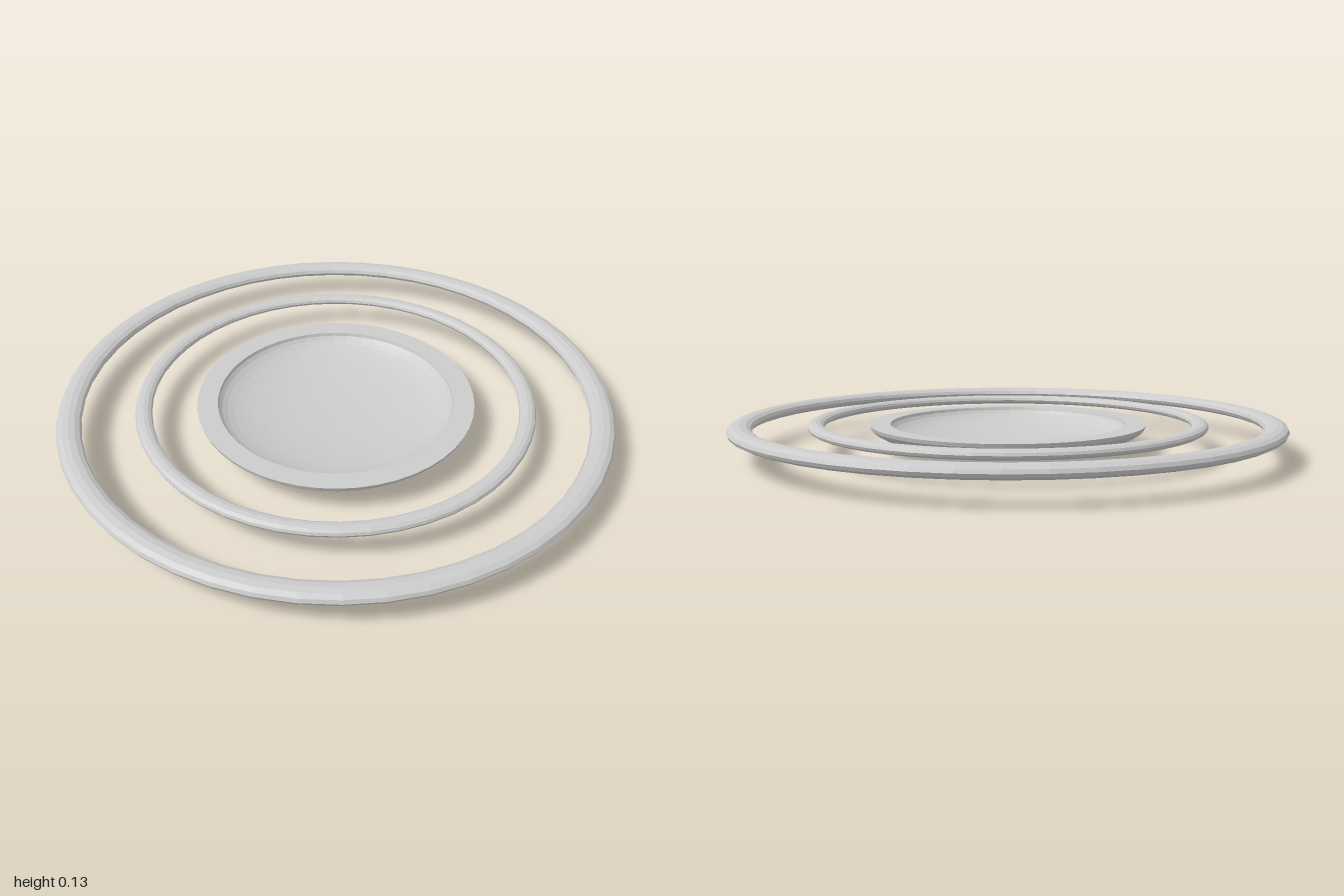
import * as THREE from 'three';

const RIM_Y = 0.104;
const material = new THREE.MeshStandardMaterial({ color: 0xcccccc, flatShading: true });

// Flattened ring lying level with the rim of the dish
function ring(name, inner, outer, height) {
  const tube = (outer - inner) / 2;
  const geometry = new THREE.TorusGeometry((outer + inner) / 2, tube, 12, 48);
  geometry.rotateX(Math.PI / 2);
  geometry.scale(1, height / (2 * tube), 1);
  const mesh = new THREE.Mesh(geometry, material);
  mesh.name = name;
  mesh.position.y = RIM_Y;
  return mesh;
}

// Quarter-ellipse profile from the bottom centre up to the rim
function bowlCurve(radius, depth, steps = 12) {
  return Array.from({ length: steps + 1 }, (_, i) => {
    const a = (i / steps) * Math.PI / 2;
    return new THREE.Vector2(radius * Math.sin(a), RIM_Y - depth * Math.cos(a));
  });
}

export function createModel() {
  const model = new THREE.Group();
  model.name = 'ringedDish';

  // Dish: outer bowl, flat rim, then hollow back to the centre
  const profile = [...bowlCurve(0.505, RIM_Y), ...bowlCurve(0.43, 0.088).reverse()];
  const dish = new THREE.Mesh(new THREE.LatheGeometry(profile, 48), material);
  dish.name = 'dish';
  model.add(dish);

  // Concentric rings
  model.add(ring('innerRing', 0.665, 0.725, 0.036));
  model.add(ring('outerRing', 0.913, 1.0, 0.048));
  return model;
}
